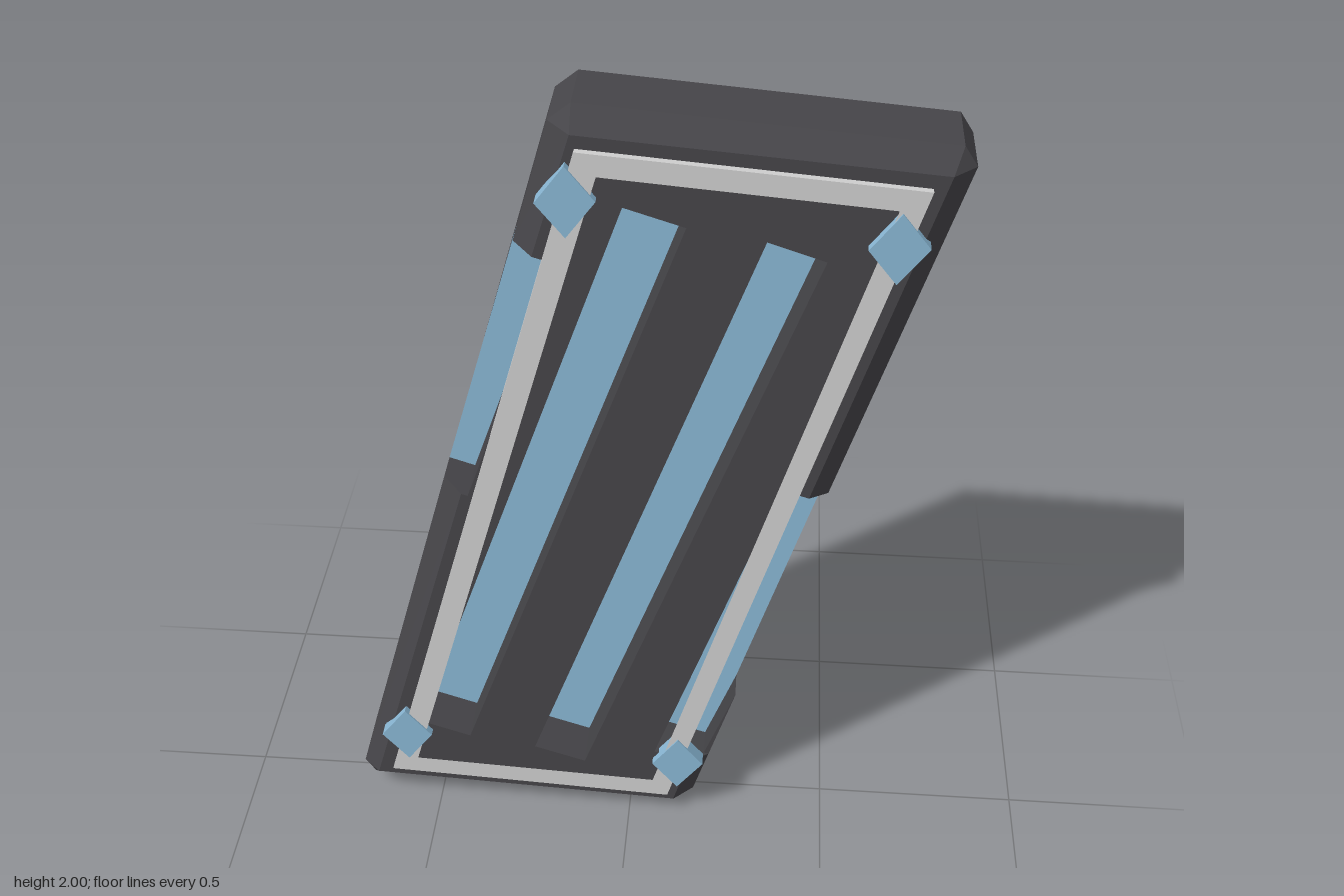
import * as THREE from 'three';

const material = (name, color) => {
  const m = new THREE.MeshStandardMaterial({ color });
  m.name = name;
  return m;
};

const toPath = (pts, Type = THREE.Shape) => new Type(pts.map(([x, y]) => new THREE.Vector2(x, y)));

// Flat-sided slab from z0 to z1
function slab(pts, z0, z1, holes = []) {
  const shape = toPath(pts);
  shape.holes = holes.map((h) => toPath(h, THREE.Path));
  const geo = new THREE.ExtrudeGeometry(shape, { depth: z1 - z0, bevelEnabled: false });
  return geo.translate(0, 0, z0);
}

// Slab whose rim at height zRim is pulled from outer to inner outline points
function bevelSlab(pairs, z0, z1, zRim, holes = []) {
  const geo = slab(pairs.map((p) => p[0]), z0, z1, holes);
  const pos = geo.attributes.position;
  for (let i = 0; i < pos.count; i++) {
    if (Math.abs(pos.getZ(i) - zRim) > 1e-4) continue;
    const hit = pairs.find(([o]) => Math.hypot(o[0] - pos.getX(i), o[1] - pos.getY(i)) < 1e-4);
    if (hit && hit[1]) pos.setXY(i, hit[1][0], hit[1][1]);
  }
  geo.computeVertexNormals();
  return geo;
}

export function createModel() {
  const group = new THREE.Group();
  const dark = material('charcoal', 0x464549);
  const blue = material('light blue', 0x8ab8d5);
  const grey = material('light grey', 0xd0d0d0);
  blue.side = THREE.FrontSide;

  const add = (name, geo, mat) => {
    const mesh = new THREE.Mesh(geo, mat);
    mesh.name = name;
    group.add(mesh);
    return mesh;
  };

  // Depth levels
  const BACK = -0.13, BACK_RIM = -0.09, FLOOR = -0.012, FRONT_RIM = 0.065, FRONT = 0.11;

  // Leaning outline with clipped corners: [outer point, bevelled point]
  const bottom = [
    [[-0.705, 0.085], [-0.66, 0.09]], [[-0.68, 0.045], [-0.66, 0.09]],
    [[0.115, 0.003], [0.115, 0.05]], [[0.165, 0.05], [0.115, 0.05]],
  ];
  const top = [
    [[0.705, 1.89], [0.655, 1.888]], [[0.675, 1.935], [0.655, 1.888]],
    [[-0.12, 2.0], [-0.12, 1.95]], [[-0.17, 1.96], [-0.12, 1.95]],
  ];
  // Side notches; points without a bevelled twin are upright walls
  const leftSideNotch = [[[0.065, 0.22]], [[0.35, 1.08]], [[0.457, 1.045], [0.412, 1.06]]];
  const rightSideNotch = [
    [[-0.25, 1.677], [-0.205, 1.665]], [[-0.155, 1.65]], [[-0.375, 1.02]], [[-0.435, 1.04], [-0.39, 1.025]],
  ];
  const notchLip = [[0.265, 0.39], [0.19, 0.18]];
  const outer = (list) => list.map((p) => p[0]);

  // Long slots in the front
  const slots = [
    [[-0.013, 1.79], [0.12, 1.748], [-0.41, 0.24], [-0.535, 0.282]],
    [[0.288, 1.722], [0.415, 1.68], [-0.115, 0.172], [-0.243, 0.214]],
  ];

  // Body in layers
  const plain = [...bottom, ...top];
  add('bodyBackBevel', bevelSlab(plain, BACK, BACK_RIM, BACK), dark);
  add('bodyBack', slab(outer(plain), BACK_RIM, FLOOR), dark);
  add('bodyMiddle', slab(
    [...outer(bottom), ...notchLip, ...outer(leftSideNotch), ...outer(top), ...outer(rightSideNotch)],
    FLOOR, FRONT_RIM, slots), dark);
  add('bodyFrontBevel', bevelSlab(
    [...bottom, [[0.202, 0.177], [0.156, 0.192]], ...leftSideNotch, ...top, ...rightSideNotch],
    FRONT_RIM, FRONT, FRONT, slots), dark);

  // Blue floors of slots and notches
  const floors = {
    slotFloorA: slots[0],
    slotFloorB: slots[1],
    leftNotchFloor: [...notchLip, ...outer(leftSideNotch)],
    rightNotchFloor: outer(rightSideNotch),
  };
  for (const [name, pts] of Object.entries(floors)) {
    add(name, new THREE.ShapeGeometry(toPath(pts)).translate(0, 0, FLOOR + 0.002), blue);
  }

  // Raised border frame
  add('borderFrame', slab(
    [[-0.11, 1.92], [0.617, 1.86], [0.1, 0.08], [-0.617, 0.12]], 0.093, 0.126,
    [[[-0.065, 1.866], [0.552, 1.815], [0.062, 0.132], [-0.548, 0.165]]]), grey);

  // Diamond studs on the frame corners
  for (const [x, y] of [[-0.13, 1.807], [0.56, 1.727], [-0.57, 0.25], [0.125, 0.2]]) {
    const diamond = [[0, 0.083], [-0.064, -0.004], [0, -0.083], [0.064, 0.004]];
    add('cornerStud', slab(diamond, 0.093, 0.13), blue).position.set(x, y, 0);
  }

  return group;
}
